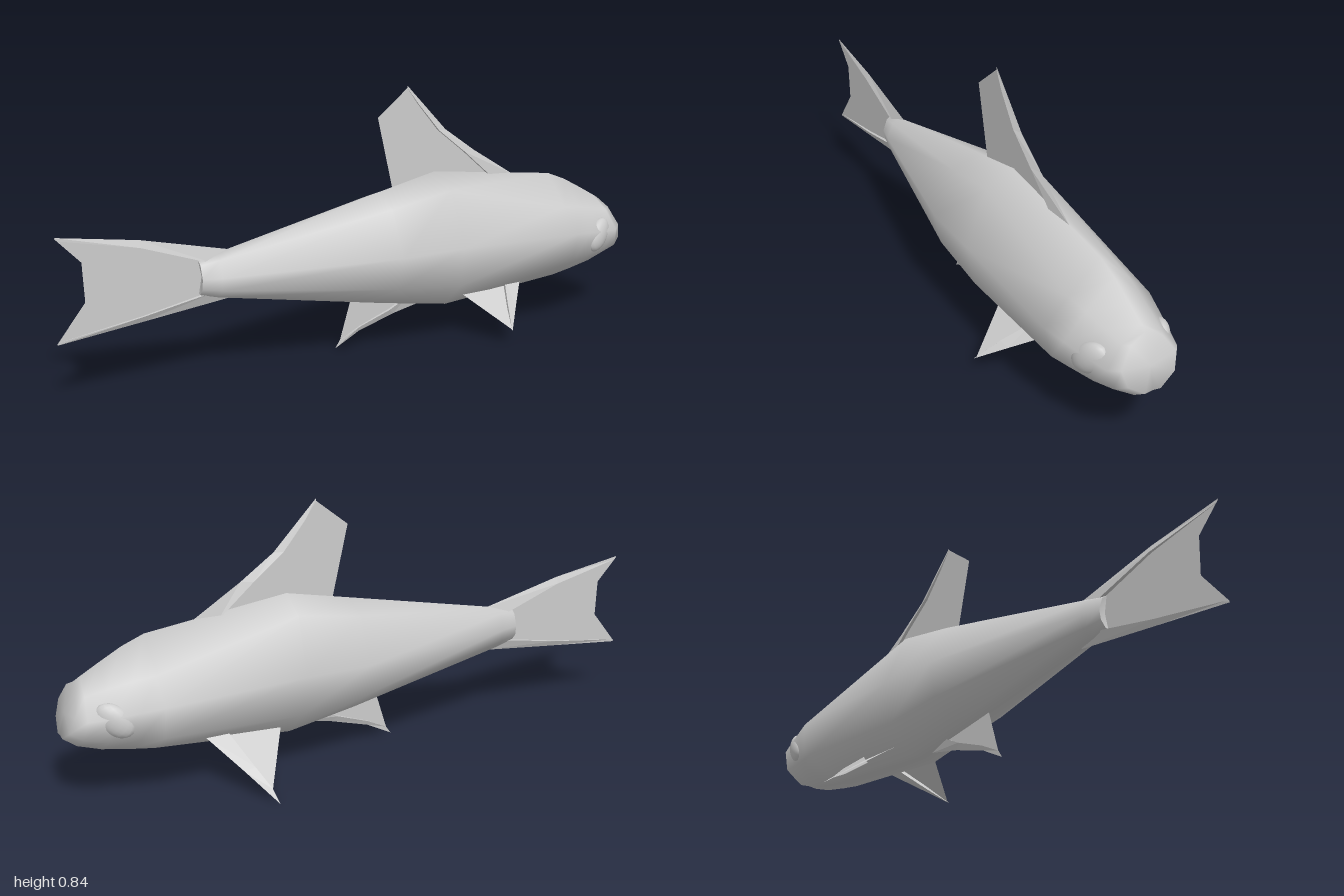
import * as THREE from 'three';

const MID = 0.034; // z of the fish's plane of symmetry

// Points of one cross-section, from the back round the left side and belly to the right side
function ringPoints([x, low, high, half, shoulder, lean]) {
  const side = [[0, 1], [0.57, shoulder], [1, 0.5], [0.85, 0.2], [0.28, 0], [0, 0.015]];
  const ring = [...side, ...side.slice(1, -1).reverse().map(([w, v]) => [-w, v])];
  return ring.map(([w, v]) => [x + lean * (1 - v), low + (high - low) * v, MID + w * half]);
}

function makeGeometry(points, index) {
  const g = new THREE.BufferGeometry();
  g.setAttribute('position', new THREE.Float32BufferAttribute(points.flat(), 3));
  g.setIndex(index);
  return g;
}

// Side faces between successive rings of n points
function bridge(rings, n) {
  const index = [];
  for (let i = 0; i < rings - 1; i++) {
    for (let j = 0; j < n; j++) {
      const a = i * n + j, b = i * n + (j + 1) % n;
      index.push(a, b, a + n, b, b + n, a + n);
    }
  }
  return index;
}

// Skin through the rings, closed at the face
function skin(stations) {
  const points = stations.flatMap(ringPoints);
  const n = points.length / stations.length;
  const index = bridge(stations.length, n);
  const last = points.length - n;
  points.push([0.982, 0.29, MID]);
  for (let j = 0; j < n; j++) index.push(points.length - 1, last + j, last + (j + 1) % n);
  const g = makeGeometry(points, index);
  g.computeVertexNormals();
  return g;
}

// Shallow disc closing the tail end
function tailCap(station) {
  const ring = ringPoints(station);
  const n = ring.length;
  const index = [];
  for (let j = 0; j < n; j++) index.push(n, (j + 1) % n, j);
  const g = makeGeometry([...ring, [station[0] + 0.01, (station[1] + station[2]) / 2, MID]], index);
  g.computeVertexNormals();
  return g;
}

// Wedge-shaped stiffener along a fin's leading edge; rows are [edgeX, edgeY, ridgeX, ridgeY, halfThickness]
function spar(rows) {
  const points = rows.flatMap(([ex, ey, rx, ry, t]) => [[ex, ey, 0], [rx, ry, t], [rx, ry, -t]]);
  const g = makeGeometry(points, bridge(rows.length, 3)).toNonIndexed();
  g.computeVertexNormals();
  return g;
}

export function createModel() {
  const model = new THREE.Group();
  const grey = new THREE.MeshStandardMaterial({ color: 0xcccccc, side: THREE.DoubleSide });
  grey.name = 'pale grey';

  function add(parent, name, geometry) {
    const mesh = new THREE.Mesh(geometry, grey);
    mesh.name = name;
    parent.add(mesh);
    return mesh;
  }

  function addFin(name, outline, spars) {
    const fin = new THREE.Group();
    fin.name = name;
    fin.position.z = MID;
    const shape = new THREE.Shape(outline.map(([x, y]) => new THREE.Vector2(x, y)));
    add(fin, 'finWeb', new THREE.ShapeGeometry(shape));
    spars.forEach(rows => add(fin, 'finSpar', spar(rows)));
    model.add(fin);
    return fin;
  }

  // Body: [x, belly, back, half width, shoulder height, forward lean of the belly]
  const stations = [
    [-0.56, 0.268, 0.375, 0.033, 0.87, 0],
    [-0.5, 0.252, 0.388, 0.046, 0.88, 0],
    [0.06, 0.15, 0.506, 0.16, 0.9, 0],
    [0.27, 0.11, 0.55, 0.167, 0.9, 0.02],
    [0.73, 0.144, 0.492, 0.177, 0.72, 0],
    [0.8, 0.153, 0.464, 0.158, 0.74, 0],
    [0.87, 0.168, 0.426, 0.136, 0.77, 0.02],
    [0.93, 0.19, 0.392, 0.115, 0.8, 0.03],
    [0.95, 0.218, 0.38, 0.09, 0.85, 0.05],
  ];
  add(model, 'body', skin(stations));
  add(model, 'tailEnd', tailCap(stations[0]));

  // Eyes: shallow bulges on the cheeks
  for (const side of [-1, 1]) {
    const eye = add(model, side > 0 ? 'leftEye' : 'rightEye', new THREE.SphereGeometry(1, 20, 12));
    eye.scale.set(0.066, 0.045, 0.028);
    eye.rotation.set(0, side * 0.4, 0.7);
    eye.position.set(0.865, 0.283, MID + side * 0.114);
  }

  // Fins on the centre line
  addFin('dorsalFin',
    [[0.115, 0.5], [0.058, 0.745], [0.165, 0.83], [0.3, 0.68], [0.52, 0.48]],
    [[[0.165, 0.838, 0.165, 0.83, 0.001], [0.22, 0.78, 0.205, 0.775, 0.006], [0.31, 0.685, 0.28, 0.685, 0.01], [0.42, 0.607, 0.38, 0.605, 0.011], [0.58, 0.507, 0.5, 0.5, 0.01]]]);

  addFin('tailFin',
    [[-0.52, 0.36], [-0.74, 0.45], [-0.99, 0.5], [-0.915, 0.42], [-0.91, 0.3], [-1, 0.187], [-0.74, 0.22], [-0.52, 0.27]],
    [
      [[-0.45, 0.392, -0.5, 0.355, 0.014], [-0.74, 0.462, -0.74, 0.44, 0.009], [-0.99, 0.503, -0.98, 0.492, 0.001]],
      [[-0.45, 0.243, -0.5, 0.275, 0.014], [-0.74, 0.212, -0.74, 0.23, 0.009], [-1, 0.185, -0.98, 0.195, 0.001]],
    ]);

  addFin('analFin',
    [[-0.03, 0.2], [-0.08, 0.035], [0, 0.07], [0.2, 0.15]],
    [[[0.24, 0.118, 0.16, 0.14, 0.01], [0.12, 0.093, 0.1, 0.11, 0.01], [-0.01, 0.055, -0.01, 0.07, 0.006], [-0.097, 0.01, -0.08, 0.035, 0.001]]]);

  // Paired fins, splayed outward; the right one ends in a longer spike: [name, side, length, web tip]
  for (const [name, side, length, web] of [['leftPectoralFin', 1, 0.188, 0.95], ['rightPectoralFin', -1, 0.267, 0.8]]) {
    const fin = addFin(name,
      [[0.32, 0.03], [0.33, 0], [0.436, -web * length], [0.48, -0.5 * length], [0.55, 0.02]],
      [[[0.58, 0.015, 0.51, 0.015, 0.012], [0.5, -0.5 * length, 0.465, -0.5 * length, 0.009], [0.432, -length, 0.436, -web * length, 0.001]]]);
    fin.position.set(0, 0.15, MID + side * 0.075);
    fin.rotation.x = -side * 0.97;
  }

  return model;
}
